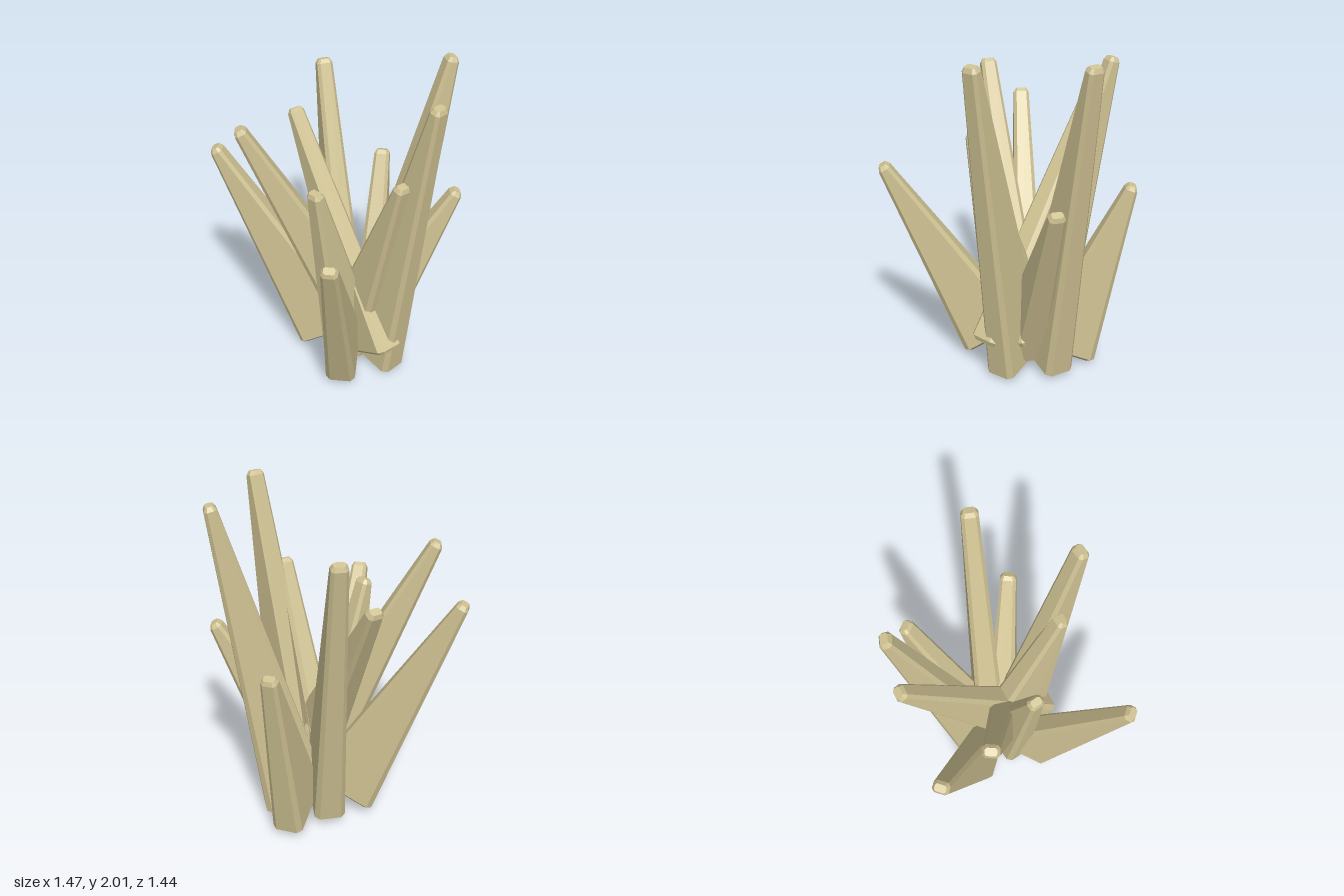
import * as THREE from 'three';

// Each blade: base centre, tip centre, half width of the base along its lean
const BLADES = [
  [[0.215, 0.16, 0.065], [-0.225, 1.53, -0.61], 0.20],
  [[0.07, 0.09, -0.21], [-0.04, 1.82, -0.68], 0.20],
  [[0.235, 0.085, -0.33], [0.335, 1.16, -0.69], 0.20],
  [[0.25, 0.06, -0.20], [0.67, 1.99, -0.31], 0.20],
  [[0.16, 0.14, -0.10], [0.715, 1.205, -0.11], 0.18],
  [[-0.05, 0.14, -0.18], [-0.71, 1.45, -0.32], 0.21],
  [[0.215, 0.15, -0.08], [-0.56, 1.71, -0.06], 0.18],
  [[0.08, 0.07, -0.07], [-0.15, 1.39, 0.14], 0.18],
  [[0.02, 0.13, 0.07], [-0.11, 1.26, 0.69], 0.20],
  [[0.225, 0.05, -0.03], [0.50, 1.99, 0.30], 0.20],
  [[0.085, 0.10, -0.14], [0.335, 1.47, 0.235], 0.18],
];

// Corners of a rectangle with cut corners, counter-clockwise
function chamferedRect(w, t, c) {
  return [[w, c - t], [w, t - c], [w - c, t], [c - w, t],
    [-w, t - c], [-w, c - t], [c - w, -t], [w - c, -t]];
}

function bladeGeometry(base, tip, halfWidth) {
  const start = new THREE.Vector3(...base);
  const axis = new THREE.Vector3(...tip).sub(start);
  const length = axis.length();
  axis.normalize();
  // The wide side lies in the plane of the lean
  const lean = new THREE.Vector3(axis.x, 0, axis.z);
  const u = lean.addScaledVector(axis, -lean.dot(axis)).normalize();
  const v = new THREE.Vector3().crossVectors(axis, u);

  // Cross-sections: distance, half width, half thickness, corner cut
  const sections = [
    [-0.028, halfWidth - 0.02, 0.07, 0.02],
    [-0.005, halfWidth, 0.093, 0.028],
    [length - 0.025, 0.036, 0.048, 0.017],
    [length, 0.022, 0.033, 0.01],
  ];
  const rings = sections.map(([d, w, t, c]) => chamferedRect(w, t, c).map(([a, b]) =>
    start.clone().addScaledVector(axis, d).addScaledVector(u, a).addScaledVector(v, b)));

  const points = [];
  for (let k = 0; k < 3; k++) {
    for (let i = 0; i < 8; i++) {
      const j = (i + 1) % 8;
      const [a, b, c, d] = [rings[k][i], rings[k][j], rings[k + 1][j], rings[k + 1][i]];
      points.push(a, b, c, a, c, d);
    }
  }
  // End caps
  for (let i = 1; i < 7; i++) {
    points.push(rings[0][0], rings[0][i + 1], rings[0][i]);
    points.push(rings[3][0], rings[3][i], rings[3][i + 1]);
  }
  const geometry = new THREE.BufferGeometry().setFromPoints(points);
  geometry.computeVertexNormals();
  return geometry;
}

export function createModel() {
  const group = new THREE.Group();
  group.name = 'grassTuft';
  const straw = new THREE.MeshStandardMaterial({ color: 0xcfc293 });
  straw.name = 'straw';
  BLADES.forEach(([base, tip, halfWidth], i) => {
    const blade = new THREE.Mesh(bladeGeometry(base, tip, halfWidth), straw);
    blade.name = `blade${i + 1}`;
    group.add(blade);
  });
  return group;
}
